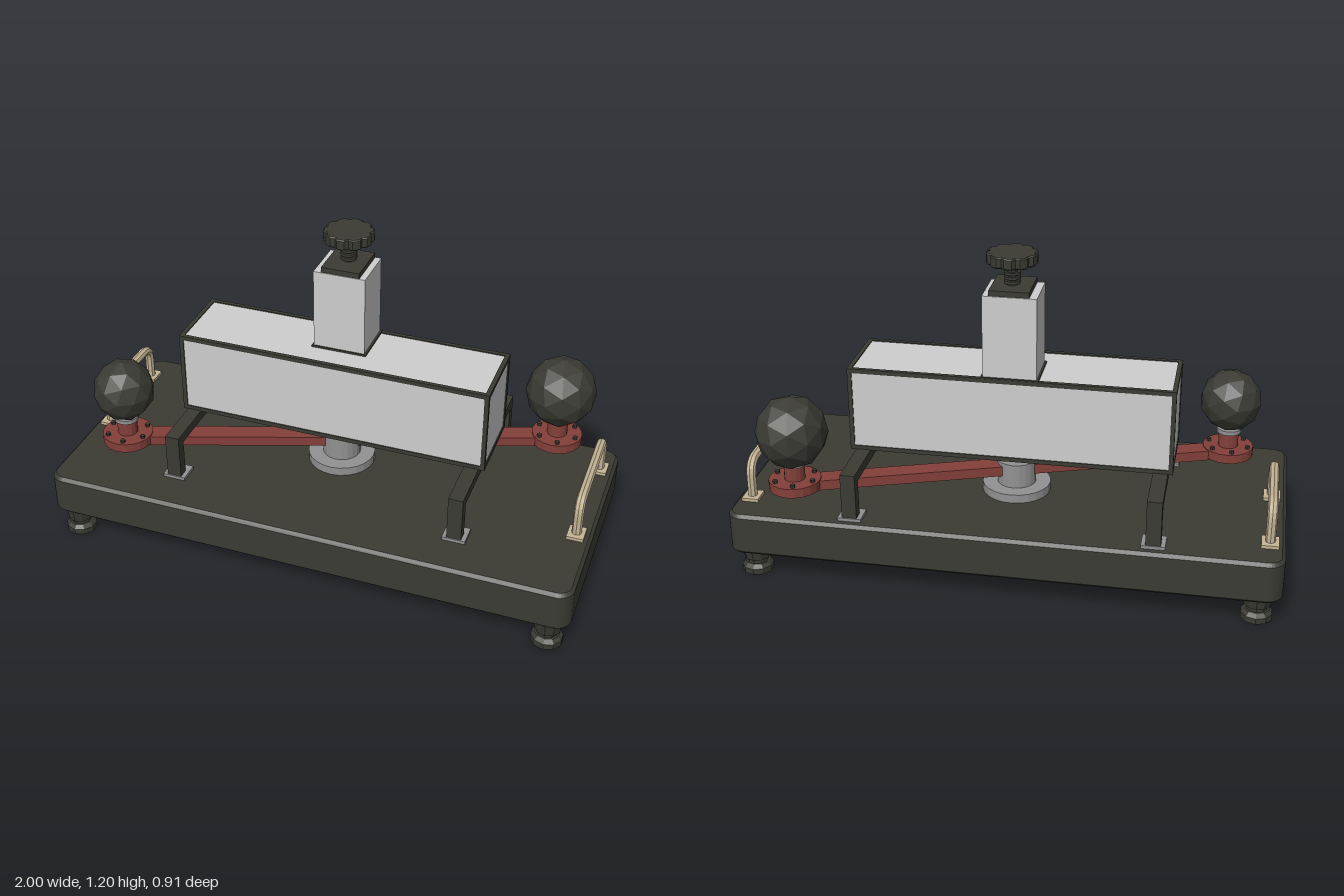
import * as THREE from 'three';

const mat = (name, color) => {
  const m = new THREE.MeshStandardMaterial({ color });
  m.name = name;
  m.flatShading = true;
  return m;
};

export function createModel() {
  const dark = mat('dark metal', 0x3b3b34);
  const pale = mat('pale panel', 0xcecece);
  const red = mat('red arm', 0x84403a);
  const grey = mat('grey steel', 0x929292);
  const tan = mat('tan handle', 0xc6b596);
  const model = new THREE.Group();

  const add = (name, geo, material, x = 0, y = 0, z = 0, parent = model) => {
    const mesh = new THREE.Mesh(geo, material);
    mesh.name = name;
    mesh.position.set(x, y, z);
    parent.add(mesh);
    return mesh;
  };
  // Box given by its limits on each axis
  const block = (name, m, x0, x1, y0, y1, z0, z1) =>
    add(name, new THREE.BoxGeometry(x1 - x0, y1 - y0, z1 - z0), m, (x0 + x1) / 2, (y0 + y1) / 2, (z0 + z1) / 2);
  // Upright cylinder from y0 to y1
  const disc = (name, m, r, y0, y1, x, z, sides = 16, rBottom = r) =>
    add(name, new THREE.CylinderGeometry(r, rBottom, y1 - y0, sides), m, x, (y0 + y1) / 2, z);

  // Base slab with rounded corners and chamfered edges
  const b = 0.012, w = 1 - b, d = 0.45 - b, r = 0.045;
  const outline = new THREE.Shape();
  outline.absarc(w - r, d - r, r, 0, Math.PI / 2);
  outline.absarc(-w + r, d - r, r, Math.PI / 2, Math.PI);
  outline.absarc(-w + r, -d + r, r, Math.PI, Math.PI * 1.5);
  outline.absarc(w - r, -d + r, r, Math.PI * 1.5, Math.PI * 2);
  const slab = new THREE.ExtrudeGeometry(outline, {
    depth: 0.16 - 2 * b, bevelEnabled: true, bevelSize: b, bevelThickness: b, bevelSegments: 1, curveSegments: 4,
  });
  slab.rotateX(-Math.PI / 2);
  add('base', slab, dark, 0, 0.1 + b, 0);

  // Levelling feet
  const footProfile = [[0, 0], [0.058, 0], [0.058, 0.022], [0.045, 0.035], [0.038, 0.036], [0.038, 0.052],
    [0.047, 0.053], [0.055, 0.102], [0, 0.102]].map(p => new THREE.Vector2(...p));
  for (const x of [-0.915, 0.92]) for (const z of [-0.367, 0.388])
    add('foot', new THREE.LatheGeometry(footProfile, 10), dark, x, 0, z);

  // Long box with dark edge bars
  const lo = [-0.59, 0.44, -0.2], hi = [0.59, 0.76, 0.095], t = 0.016, s = 0.004;
  block('chamber', pale, lo[0] + s, hi[0] - s, lo[1] + s, hi[1] - s, lo[2] + s, hi[2] - s);
  for (let axis = 0; axis < 3; axis++) for (const u of [0, 1]) for (const v of [0, 1]) {
    const a = [...lo], c = [...hi];
    [[(axis + 1) % 3, u], [(axis + 2) % 3, v]].forEach(([k, side]) => {
      if (side) a[k] = hi[k] - t; else c[k] = lo[k] + t;
    });
    block('chamberEdge', dark, a[0], c[0], a[1], c[1], a[2], c[2]);
  }

  // Tower with collar and cap
  block('towerCollar', dark, -0.105, 0.103, 0.755, 0.763, -0.199, -0.008);
  block('tower', pale, -0.098, 0.096, 0.76, 1.065, -0.19, -0.013);
  block('towerCap', dark, -0.07, 0.073, 1.065, 1.085, -0.186, -0.016);

  // Threaded stem and scalloped knob
  const kx = 0.003, kz = -0.105;
  disc('stem', dark, 0.02, 1.08, 1.17, kx, kz, 10);
  for (let i = 0; i < 3; i++) disc('stemThread', dark, 0.03, 1.092 + i * 0.016, 1.102 + i * 0.016, kx, kz, 12);
  disc('knobCollar', dark, 0.042, 1.142, 1.166, kx, kz, 12, 0.024);
  const scallop = new THREE.Shape();
  for (let i = 0; i < 40; i++) {
    const a = i / 40 * Math.PI * 2, rad = i % 4 === 0 ? 0.081 : 0.091;
    scallop[i ? 'lineTo' : 'moveTo'](Math.cos(a) * rad, Math.sin(a) * rad);
  }
  const knob = new THREE.ExtrudeGeometry(scallop, {
    depth: 0.032, bevelEnabled: true, bevelSize: 0.004, bevelOffset: -0.004, bevelThickness: 0.004, bevelSegments: 1,
  });
  knob.rotateX(-Math.PI / 2);
  add('knob', knob, dark, kx, 1.168, kz);

  // Support arches with steel foot plates
  for (const x of [-0.546, 0.542]) {
    block('archBeam', dark, x - 0.027, x + 0.027, 0.405, 0.442, -0.414, 0.295);
    for (const z of [-0.394, 0.275]) {
      block('archPost', dark, x - 0.027, x + 0.027, 0.265, 0.42, z - 0.02, z + 0.02);
      const pz = z + (z > 0 ? -0.015 : 0.015);
      block('archFootPlate', grey, x - 0.043, x + 0.043, 0.258, 0.272, pz - 0.04, pz + 0.04);
    }
  }

  // Pivot
  disc('pivotPlate', grey, 0.127, 0.258, 0.293, -0.003, -0.053, 24);
  disc('pivotHub', grey, 0.072, 0.29, 0.385, -0.003, -0.053, 20);

  // Swinging arm with a weighted ball at each end
  const ends = [[-0.77, 0.22, 0.56, 0.115], [0.765, -0.332, 0.558, 0.132]];
  const dx = ends[1][0] - ends[0][0], dz = ends[1][1] - ends[0][1];
  const arm = add('arm', new THREE.BoxGeometry(Math.hypot(dx, dz), 0.038, 0.072), red, -0.0025, 0.35, -0.056);
  arm.rotation.y = -Math.atan2(dz, dx);
  for (const [x, z, y, rad] of ends) {
    disc('armEnd', red, 0.095, 0.338, 0.373, x, z, 20);
    for (let i = 0; i < 6; i++) {
      const a = i * Math.PI / 3 + 0.3;
      disc('armBolt', dark, 0.009, 0.37, 0.384, x + Math.cos(a) * 0.077, z + Math.sin(a) * 0.077, 6);
    }
    disc('ballNeck', red, 0.038, 0.37, 0.435, x, z, 14);
    disc('ballRing', grey, 0.046, 0.43, 0.446, x, z, 14);
    const ball = add('ball', new THREE.IcosahedronGeometry(rad, 1), dark, x, y, z);
    ball.scale.y = 1.035;
    ball.rotation.y = x;
  }

  // Carrying handles: a bent bar on two pads
  for (const [x, z0, z1] of [[-0.945, -0.308, 0.04], [0.943, -0.305, 0.11]]) {
    const c = 0.055, top = 0.406;
    const V = (y, z) => new THREE.Vector3(x, y, z);
    const path = new THREE.CurvePath();
    path.add(new THREE.LineCurve3(V(0.262, z0), V(top - c, z0)));
    path.add(new THREE.QuadraticBezierCurve3(V(top - c, z0), V(top, z0), V(top, z0 + c)));
    path.add(new THREE.LineCurve3(V(top, z0 + c), V(top, z1 - c)));
    path.add(new THREE.QuadraticBezierCurve3(V(top, z1 - c), V(top, z1), V(top - c, z1)));
    path.add(new THREE.LineCurve3(V(top - c, z1), V(0.262, z1)));
    add('handle', new THREE.TubeGeometry(path, 40, 0.018, 8), tan);
    for (const z of [z0, z1]) block('handlePad', tan, x - 0.031, x + 0.031, 0.258, 0.272, z - 0.036, z + 0.036);
  }

  return model;
}
